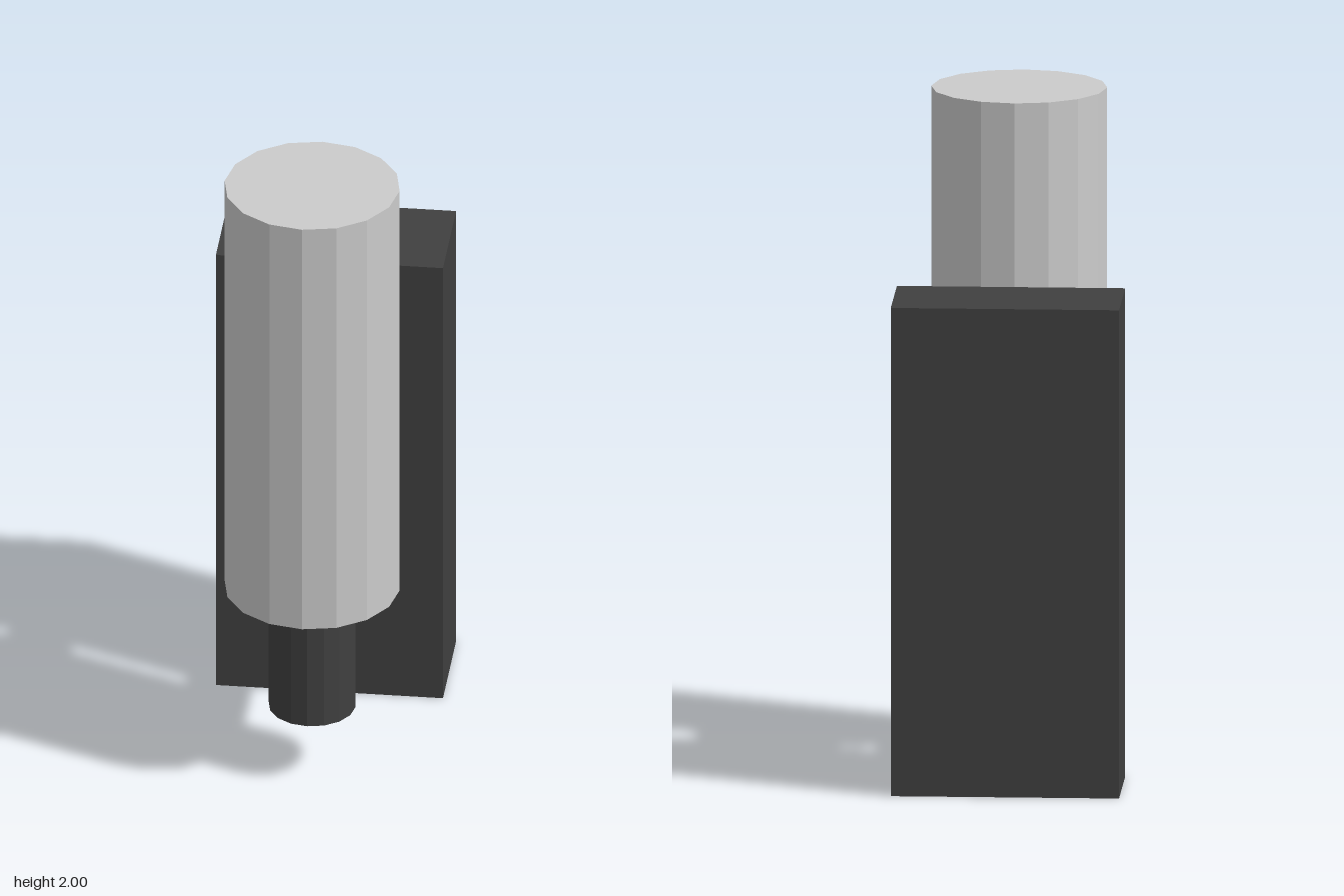
import * as THREE from 'three';

export function createModel() {
  const group = new THREE.Group();
  const dark = new THREE.MeshStandardMaterial({ color: 0x404040, flatShading: true });
  const grey = new THREE.MeshStandardMaterial({ color: 0xcccccc, flatShading: true });
  const lampZ = 0.263;
  const plateFront = -0.185;

  const add = (name, geometry, material, x, y, z) => {
    const mesh = new THREE.Mesh(geometry, material);
    mesh.name = name;
    mesh.position.set(x, y, z);
    group.add(mesh);
    return mesh;
  };

  // Upright cylinder between two heights, on the lamp axis
  const upright = (name, radius, y0, y1, material) =>
    add(name, new THREE.CylinderGeometry(radius, radius, y1 - y0, 16), material, 0, (y0 + y1) / 2, lampZ);

  // Horizontal arm from the wall box forward to zEnd
  const arm = (name, y, zEnd) => {
    const length = zEnd - plateFront;
    const geometry = new THREE.CylinderGeometry(0.081, 0.081, length, 16).rotateX(Math.PI / 2);
    return add(name, geometry, dark, 0, y, plateFront + length / 2);
  };

  // Wall box
  add('wallBox', new THREE.BoxGeometry(0.68, 1.48, 0.34), dark, 0, 0.74, plateFront - 0.17);

  // Shade and the socket below it
  upright('shade', 0.262, 0.625, 2, grey);
  upright('socket', 0.13, 0.215, 0.625, dark);

  // Arms, ending inside the shade and the socket
  arm('upperArm', 1.142, 0.05);
  arm('lowerArm', 0.425, 0.22);

  return group;
}
